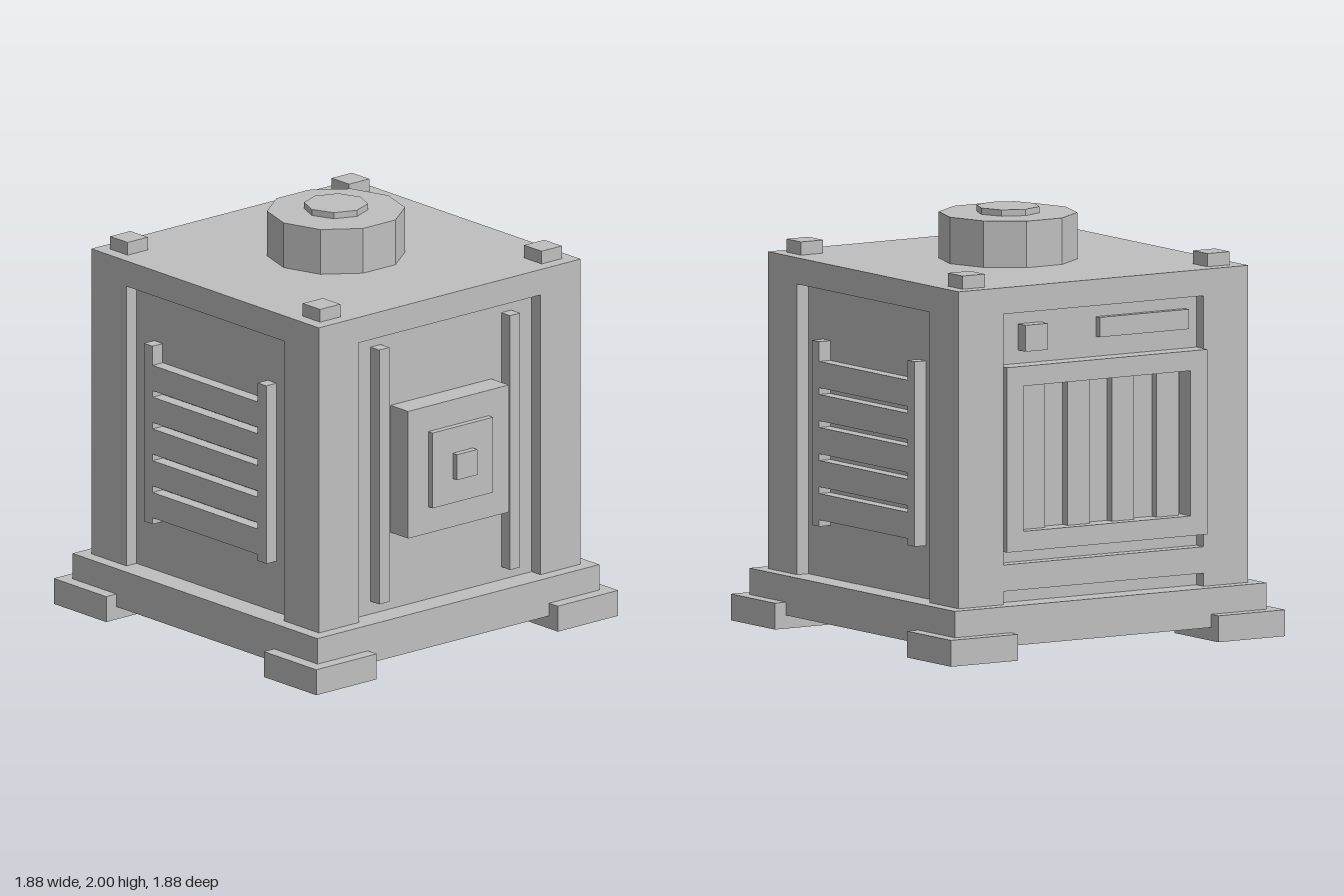
import * as THREE from 'three';

export function createModel() {
  const model = new THREE.Group();
  const grey = new THREE.MeshStandardMaterial({ color: 0xbfbfbf });
  grey.name = 'grey';

  // Box given by its limits on each axis
  function box(name, [x0, x1], [y0, y1], [z0, z1], parent = model) {
    const mesh = new THREE.Mesh(new THREE.BoxGeometry(x1 - x0, y1 - y0, z1 - z0), grey);
    mesh.position.set((x0 + x1) / 2, (y0 + y1) / 2, (z0 + z1) / 2);
    mesh.name = name;
    parent.add(mesh);
  }

  function group(name, turn = 0) {
    const g = new THREE.Group();
    g.name = name;
    g.rotation.y = turn;
    model.add(g);
    return g;
  }

  // Faceted disc with a vertex on the x axis
  function disc(name, radius, sides, y0, y1) {
    const geometry = new THREE.CylinderGeometry(radius, radius, y1 - y0, sides, 1, false, Math.PI / 2).toNonIndexed();
    geometry.computeVertexNormals();
    const mesh = new THREE.Mesh(geometry, grey);
    mesh.position.y = (y0 + y1) / 2;
    mesh.name = name;
    model.add(mesh);
  }

  const span = (centre, size) => [centre - size / 2, centre + size / 2];

  // Base, recessed core and top slab
  box('base', [-0.875, 0.875], [0.0625, 0.25], [-0.875, 0.875]);
  box('core', [-0.75, 0.75], [0.25, 1.625], [-0.75, 0.75]);
  box('topSlab', [-0.8125, 0.8125], [1.625, 1.75], [-0.8125, 0.8125]);

  // Feet, corner pillars and roof studs
  for (const sx of [-1, 1]) {
    for (const sz of [-1, 1]) {
      box('foot', span(sx * 0.75, 0.375), [0, 0.125], span(sz * 0.75, 0.375));
      box('cornerPillar', span(sx * 0.6875, 0.25), [0.25, 1.625], span(sz * 0.6875, 0.25));
      box('roofStud', span(sx * 0.6875, 0.125), [1.75, 1.8125], span(sz * 0.6875, 0.125));
    }
  }

  // Roof hub
  disc('roofHub', 0.325, 10, 1.75, 1.97);
  disc('roofHubCap', 0.15, 8, 1.97, 2);

  // Front: two rails and a stepped square boss
  const front = group('frontPanel');
  for (const s of [-1, 1]) {
    box('frontRail', span(s * 0.40625, 0.0625), [0.3125, 1.5625], [0.75, 0.8125], front);
  }
  box('bossPlate', [-0.3125, 0.3125], [0.625, 1.25], [0.75, 0.875], front);
  box('bossStep', [-0.1875, 0.1875], [0.755, 1.125], [0.875, 0.906], front);
  box('bossButton', [-0.0625, 0.0625], [0.875, 1], [0.906, 0.9375], front);

  // Sides: slatted vents, built facing +z and turned outwards
  for (const s of [-1, 1]) {
    const vent = group(s > 0 ? 'leftVent' : 'rightVent', s * Math.PI / 2);
    for (const e of [-1, 1]) {
      box('ventUpright', span(e * 0.40625, 0.0625), [0.5, 1.375], [0.75, 0.8125], vent);
    }
    for (let i = 0; i < 5; i++) {
      const y = 0.53125 + i * 0.15625;
      box('ventSlat', [-0.375, 0.375], [y, y + 0.125], [0.75, 0.8125], vent);
    }
  }

  // Back: framed grille with upright bars
  const back = group('backPanel');
  const depth = [-0.84375, -0.75];
  for (const s of [-1, 1]) {
    box('grilleFrameSide', span(s * 0.515625, 0.09375), [0.59375, 1.28125], depth, back);
  }
  box('grilleFrameTop', [-0.5625, 0.5625], [1.28125, 1.375], depth, back);
  box('grilleFrameBottom', [-0.5625, 0.5625], [0.5, 0.59375], depth, back);
  for (let i = 0; i < 4; i++) {
    box('grilleBar', span(-0.375 + i * 0.25, 0.125), [0.59375, 1.28125], [-0.79, -0.75], back);
  }

  // Back: sill below the grille, block and plate above it
  box('backSill', [-0.5625, 0.5625], [0.3125, 0.4375], [-0.8125, -0.75], back);
  box('backBlock', [0.3125, 0.4375], [1.4375, 1.5625], [-0.8125, -0.75], back);
  box('backPlate', [-0.5, 0], [1.46875, 1.5625], [-0.78125, -0.75], back);

  return model;
}
